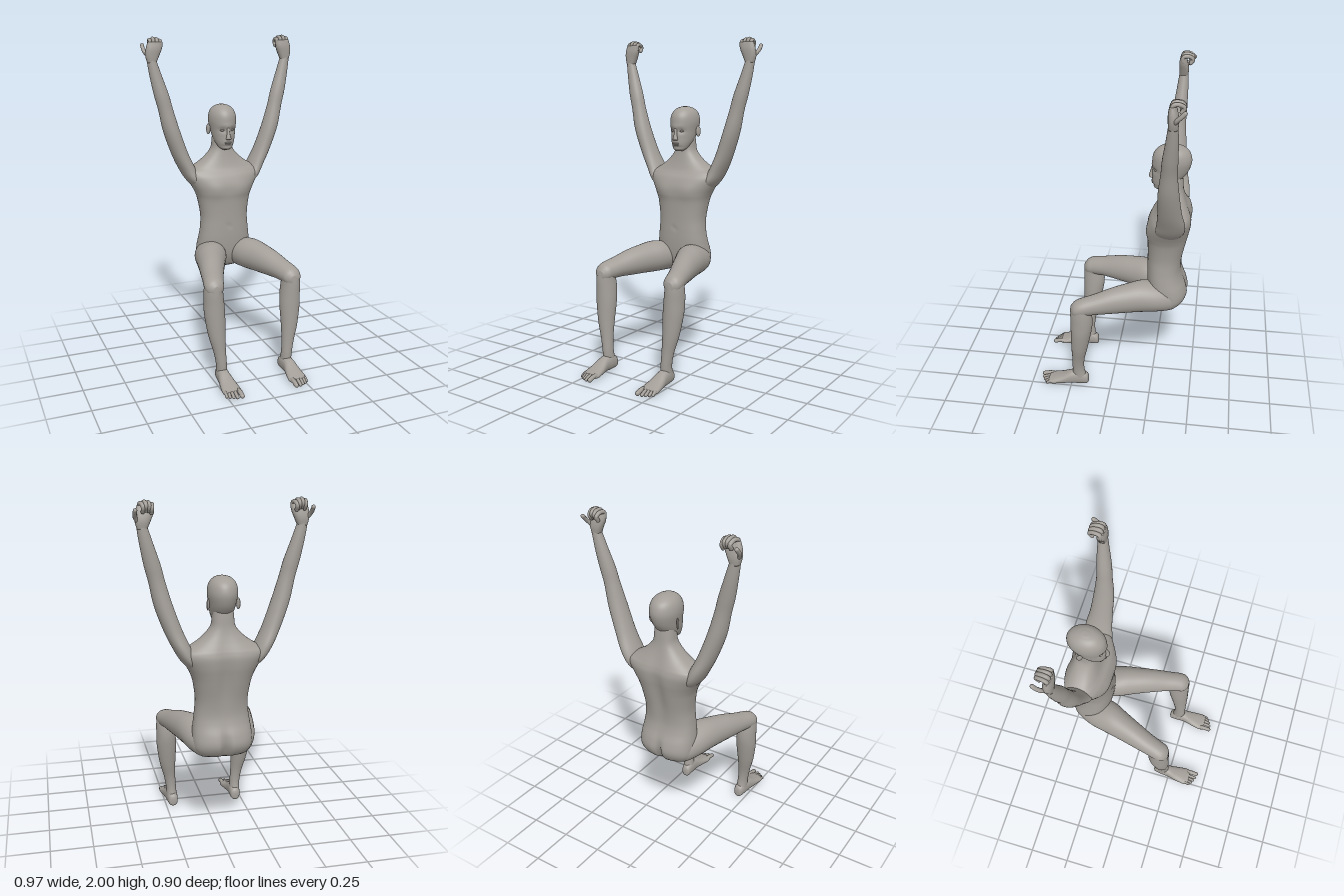
import * as THREE from 'three';
import { mergeGeometries } from 'three/addons/utils/BufferGeometryUtils.js';

const V = (x, y, z) => new THREE.Vector3(x, y, z);

// Smooth skin through elliptical sections [x, y, z, halfWidth, halfDepth]
// that lie square to the 'y' or 'z' axis; power > 2 makes them boxier.
function loft(rows, axis, { steps = 6, sides = 32, power = 2, shape } = {}) {
  const path = new THREE.CatmullRomCurve3(rows.map(r => V(r[0], r[1], r[2])), false, 'catmullrom', 0.5);
  const size = new THREE.CatmullRomCurve3(rows.map(r => V(r[3], r[4], 0)), false, 'catmullrom', 0.5);
  const n = (rows.length - 1) * steps, pos = [], index = [];
  const bend = c => Math.sign(c) * Math.pow(Math.abs(c), 2 / power);
  const push = p => { if (shape) shape(p); pos.push(p.x, p.y, p.z); };
  for (let i = 0; i <= n; i++) {
    const c = path.getPoint(i / n), s = size.getPoint(i / n);
    for (let j = 0; j < sides; j++) {
      const a = (j / sides) * Math.PI * 2;
      const u = s.x * bend(Math.cos(a)), v = s.y * bend(Math.sin(a));
      push(axis === 'y' ? V(c.x + u, c.y, c.z - v) : V(c.x + u, c.y + v, c.z));
    }
  }
  push(path.getPoint(0));
  push(path.getPoint(1));
  const first = (n + 1) * sides, last = first + 1;
  for (let j = 0; j < sides; j++) {
    const k = (j + 1) % sides;
    for (let i = 0; i < n; i++) {
      const a = i * sides + j, b = i * sides + k;
      index.push(a, b, a + sides, b, b + sides, a + sides);
    }
    index.push(first, k, j, last, n * sides + j, n * sides + k);
  }
  const g = new THREE.BufferGeometry();
  g.setAttribute('position', new THREE.Float32BufferAttribute(pos, 3));
  g.setIndex(index);
  g.computeVertexNormals();
  return g;
}

// Digit along a curve, rounded at both ends
function digit(points, r) {
  const tube = new THREE.TubeGeometry(new THREE.CatmullRomCurve3(points), 16, r, 10);
  const ends = [points[0], points[points.length - 1]]
    .map(e => new THREE.SphereGeometry(r, 10, 8).translate(e.x, e.y, e.z));
  return mergeGeometries([tube, ...ends]);
}

function ellipsoid(x, y, z, rx, ry, rz, turn = 0) {
  return new THREE.SphereGeometry(1, 24, 16).scale(rx, ry, rz).rotateY(turn).translate(x, y, z);
}

// Reflected copy across x = 0 with its faces turned back outwards
function mirrored(geo) {
  const g = geo.clone(), p = g.attributes.position, nm = g.attributes.normal, ix = g.index;
  for (let i = 0; i < p.count; i++) { p.setX(i, -p.getX(i)); nm.setX(i, -nm.getX(i)); }
  for (let i = 0; i < ix.count; i += 3) {
    const t = ix.getX(i);
    ix.setX(i, ix.getX(i + 1));
    ix.setX(i + 1, t);
  }
  return g;
}

const bump = (d, w) => Math.exp(-(d * d) / (w * w));
// Row given as height, half width, front z and back z
const slab = ([y, w, f, b]) => [0, y, (f + b) / 2, w, (f - b) / 2];

export function createModel() {
  const group = new THREE.Group();
  const skin = new THREE.MeshStandardMaterial({ color: 0xa39e98, side: THREE.DoubleSide });
  skin.name = 'warm grey skin';
  const add = (name, geo) => {
    const m = new THREE.Mesh(geo, skin);
    m.name = name;
    group.add(m);
  };
  const pair = (name, geo) => {
    add(name + 'Left', geo);
    add(name + 'Right', mirrored(geo));
  };

  // Torso and neck, with seat cleft, spine groove, chest muscles and navel
  add('torso', loft([
    [0.556, 0.09, -0.28, -0.37], [0.575, 0.143, -0.245, -0.41], [0.61, 0.167, -0.225, -0.437],
    [0.65, 0.172, -0.212, -0.448], [0.7, 0.17, -0.205, -0.438], [0.76, 0.162, -0.201, -0.415],
    [0.82, 0.154, -0.2, -0.405], [0.9, 0.15, -0.2, -0.412], [1.0, 0.165, -0.197, -0.432],
    [1.05, 0.182, -0.192, -0.442], [1.1, 0.208, -0.195, -0.451], [1.15, 0.236, -0.213, -0.454],
    [1.182, 0.236, -0.235, -0.447], [1.205, 0.196, -0.248, -0.438], [1.24, 0.14, -0.26, -0.423],
    [1.28, 0.095, -0.27, -0.408], [1.32, 0.067, -0.277, -0.398], [1.37, 0.06, -0.28, -0.392],
    [1.43, 0.055, -0.285, -0.385],
  ].map(slab), 'y', {
    sides: 72, power: 2.4,
    shape: p => {
      const back = THREE.MathUtils.smoothstep(-p.z, 0.33, 0.43);
      p.z += back * 0.02 * bump(p.x, 0.042) * bump(p.y - 1.04, 0.2);
      p.z += back * 0.035 * bump(p.x, 0.018) * bump(p.y - 0.62, 0.08);
      const front = THREE.MathUtils.smoothstep(p.z, -0.3, -0.23);
      p.z += front * 0.006 * bump(Math.abs(p.x) - 0.085, 0.05) * bump(p.y - 1.07, 0.05);
      p.z -= front * 0.005 * bump(p.x, 0.012) * bump(p.y - 0.84, 0.015);
    },
  }));

  // Head with eye sockets, brow, cheeks and chin
  add('head', loft([
    [1.318, 0.022, -0.238, -0.275], [1.333, 0.042, -0.222, -0.31], [1.365, 0.058, -0.214, -0.36],
    [1.4, 0.068, -0.214, -0.394], [1.44, 0.075, -0.213, -0.42], [1.49, 0.083, -0.211, -0.435],
    [1.53, 0.08, -0.217, -0.43], [1.56, 0.067, -0.236, -0.412], [1.58, 0.044, -0.265, -0.38],
    [1.59, 0.014, -0.305, -0.345],
  ].map(slab), 'y', {
    sides: 72, steps: 8,
    shape: p => {
      const face = THREE.MathUtils.smoothstep(p.z, -0.3, -0.24);
      p.z -= face * 0.009 * bump(Math.abs(p.x) - 0.032, 0.02) * bump(p.y - 1.442, 0.016);
      p.z += face * 0.003 * bump(p.x, 0.05) * bump(p.y - 1.468, 0.014);
      p.z -= face * 0.005 * bump(p.x, 0.04) * bump(p.y - 1.343, 0.008);
    },
  }));
  add('nose', loft([
    [0, 1.384, -0.213, 0.011, 0.006], [0, 1.389, -0.209, 0.017, 0.013], [0, 1.4, -0.209, 0.014, 0.014],
    [0, 1.425, -0.212, 0.009, 0.01], [0, 1.46, -0.217, 0.008, 0.006],
  ], 'y', { sides: 20 }));
  pair('eye', ellipsoid(0.032, 1.441, -0.232, 0.014, 0.0065, 0.008, 0.3));
  add('upperLip', ellipsoid(0, 1.365, -0.217, 0.022, 0.005, 0.007));
  add('lowerLip', ellipsoid(0, 1.355, -0.218, 0.018, 0.005, 0.007));
  pair('ear', ellipsoid(0.084, 1.437, -0.342, 0.007, 0.033, 0.017, -0.5));

  // Raised arm, from inside the shoulder through the elbow to the wrist
  pair('arm', loft([
    [0.16, 1.07, -0.328, 0.02, 0.04], [0.192, 1.13, -0.334, 0.044, 0.08],
    [0.228, 1.2, -0.343, 0.05, 0.08], [0.275, 1.3, -0.337, 0.051, 0.067], [0.325, 1.44, -0.33, 0.051, 0.058],
    [0.358, 1.57, -0.331, 0.045, 0.045], [0.381, 1.66, -0.335, 0.045, 0.042], [0.41, 1.77, -0.343, 0.037, 0.034],
    [0.431, 1.86, -0.347, 0.029, 0.026], [0.43, 1.88, -0.347, 0.028, 0.024],
  ], 'y'));

  // Hand with fingers curled backwards
  pair('palm', loft([
    [0.431, 1.85, -0.347, 0.027, 0.025], [0.427, 1.89, -0.347, 0.041, 0.028],
    [0.418, 1.93, -0.343, 0.048, 0.025], [0.411, 1.97, -0.34, 0.044, 0.015],
  ], 'y', { power: 2.4 }));
  [[0.377, 0.012, 0.004], [0.398, 0.003, 0], [0.42, 0, -0.003], [0.441, 0.007, -0.006]].forEach(([x, d, s], i) => {
    pair('finger' + (i + 1), digit([
      V(x, 1.945, -0.34), V(x, 1.983 - d, -0.342), V(x + s, 1.987 - d, -0.375),
      V(x + s * 2, 1.97 - d, -0.399), V(x + s * 2, 1.948 - d, -0.386),
    ], 0.0115));
  });
  pair('thumb', digit([V(0.446, 1.88, -0.35), V(0.466, 1.908, -0.365), V(0.472, 1.932, -0.388), V(0.471, 1.95, -0.405)], 0.0115));

  // Seated thigh, rounded off at the knee
  pair('thigh', loft([
    [0.085, 0.63, -0.4, 0.05, 0.05], [0.09, 0.633, -0.36, 0.082, 0.076], [0.107, 0.643, -0.28, 0.1, 0.09],
    [0.13, 0.651, -0.18, 0.1, 0.097], [0.16, 0.646, -0.09, 0.088, 0.09], [0.19, 0.637, 0, 0.077, 0.08],
    [0.222, 0.622, 0.1, 0.066, 0.063], [0.242, 0.609, 0.17, 0.061, 0.057], [0.246, 0.6, 0.21, 0.051, 0.048],
    [0.246, 0.592, 0.235, 0.022, 0.026],
  ], 'z'));

  // Shin with calf
  pair('shin', loft([
    [0.244, 0.648, 0.178, 0.03, 0.025], [0.245, 0.622, 0.178, 0.052, 0.053], [0.248, 0.57, 0.174, 0.056, 0.064],
    [0.245, 0.5, 0.172, 0.06, 0.067], [0.242, 0.42, 0.178, 0.061, 0.062], [0.235, 0.3, 0.191, 0.05, 0.05],
    [0.222, 0.2, 0.202, 0.037, 0.038], [0.213, 0.12, 0.205, 0.032, 0.037], [0.21, 0.05, 0.196, 0.033, 0.043],
  ], 'y'));

  // Foot and toes
  pair('foot', loft([
    [0.207, 0.035, 0.142, 0.012, 0.018], [0.207, 0.04, 0.153, 0.028, 0.036], [0.209, 0.05, 0.195, 0.035, 0.048],
    [0.212, 0.047, 0.25, 0.038, 0.045], [0.211, 0.032, 0.31, 0.049, 0.03], [0.21, 0.021, 0.365, 0.056, 0.02],
    [0.21, 0.018, 0.395, 0.05, 0.014],
  ], 'z', { power: 2.3 }));
  [[0.172, 0.436, 0.014], [0.2, 0.434, 0.01], [0.22, 0.425, 0.0095], [0.238, 0.415, 0.009], [0.254, 0.402, 0.009]]
    .forEach(([x, z, r], i) => pair('toe' + (i + 1), digit([
      V(x, 0.02, 0.36), V(x, 0.024, (0.36 + z) / 2), V(x, r + 0.001, z),
    ], r)));

  return group;
}
